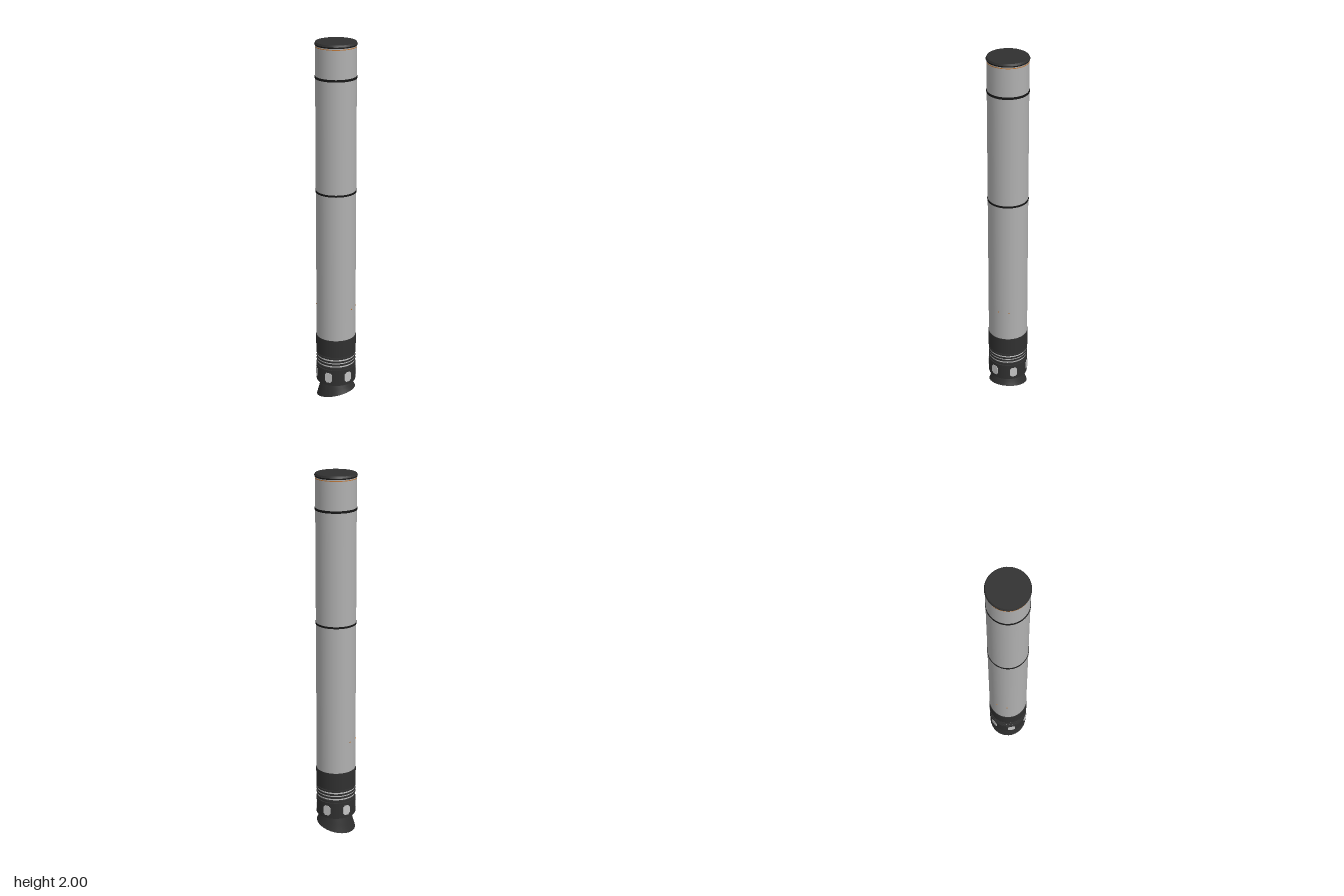
import * as THREE from 'three';

const SIDES = 32;

export function createModel() {
  const model = new THREE.Group();
  const material = (name, color) => {
    const m = new THREE.MeshStandardMaterial({ color });
    m.name = name;
    return m;
  };
  const grey = material('casing grey', 0xb0b0b0);
  const dark = material('charcoal', 0x303030);
  const black = material('seam black', 0x161616);
  const light = material('pale metal', 0xc4c4c4);
  const orange = material('orange mark', 0xc07838);
  const inner = dark.clone();
  inner.name = 'charcoal nozzle';
  inner.side = THREE.DoubleSide;

  const add = (name, geometry, mat, parent = model) => {
    const mesh = new THREE.Mesh(geometry, mat);
    mesh.name = name;
    parent.add(mesh);
    return mesh;
  };
  // Solid cylinder between two heights
  const drum = (name, y0, y1, r, mat) => {
    const mesh = add(name, new THREE.CylinderGeometry(r, r, y1 - y0, SIDES), mat);
    mesh.position.y = (y0 + y1) / 2;
    return mesh;
  };

  // Long casing, its seams and the end cap
  drum('casing', 0.36, 1.985, 0.107, grey);
  drum('lowerSeam', 1.2, 1.21, 0.1095, black);
  drum('upperSeam', 1.812, 1.824, 0.1095, black);
  drum('markRing', 1.974, 1.978, 0.1075, orange);
  drum('capBase', 1.983, 1.99, 0.109, black);
  add('endCap', new THREE.CylinderGeometry(0.106, 0.111, 0.01, SIDES), dark).position.y = 1.995;

  // Small marks low on both flanks
  for (const sx of [-1, 1]) for (const sz of [-1, 1]) {
    const mark = add('flankMark', new THREE.BoxGeometry(0.004, 0.006, 0.006), orange);
    mark.position.set(sx * 0.1025, 0.545, sz * 0.03);
  }

  // Tail: sleeve, ribbed neck and port band
  drum('sleeve', 0.272, 0.372, 0.1095, dark);
  drum('neck', 0.18, 0.28, 0.101, dark);
  for (const y of [0.215, 0.235, 0.251]) drum('paleRib', y - 0.004, y + 0.004, 0.105, light);
  for (const y of [0.202, 0.225, 0.243, 0.262]) drum('darkRib', y - 0.005, y + 0.005, 0.1075, dark);
  drum('portBand', 0.1, 0.192, 0.1085, dark);

  // Six eight-sided ports around the band
  const portShape = new THREE.Shape([
    [-0.011, -0.029], [0.011, -0.029], [0.021, -0.017], [0.021, 0.017],
    [0.011, 0.029], [-0.011, 0.029], [-0.021, 0.017], [-0.021, -0.017],
  ].map(([x, y]) => new THREE.Vector2(x, y)));
  const portGeometry = new THREE.ExtrudeGeometry(portShape, { depth: 0.005, bevelEnabled: false });
  for (let i = 0; i < 6; i++) {
    const arm = new THREE.Group();
    arm.name = 'portMount';
    arm.rotation.y = (i * Math.PI) / 3;
    model.add(arm);
    add('port', portGeometry, light, arm).position.set(0, 0.146, 0.1045);
  }

  // Flared open nozzle, its lower rim cut on a slant
  const profile = [[0.107, 0], [0.093, 0.05], [0.083, 0.105], [0.079, 0.105], [0.089, 0.05], [0.103, 0], [0.107, 0]];
  const nozzle = new THREE.LatheGeometry(profile.map(([r, y]) => new THREE.Vector2(r, y)), SIDES);
  const p = nozzle.attributes.position;
  for (let i = 0; i < p.count; i++) {
    const drop = 1 - p.getY(i) / 0.105;
    const rim = 0.026 + 0.24 * p.getX(i);
    p.setY(i, p.getY(i) + rim * drop);
  }
  nozzle.computeVertexNormals();
  add('nozzle', nozzle, inner);

  return model;
}
